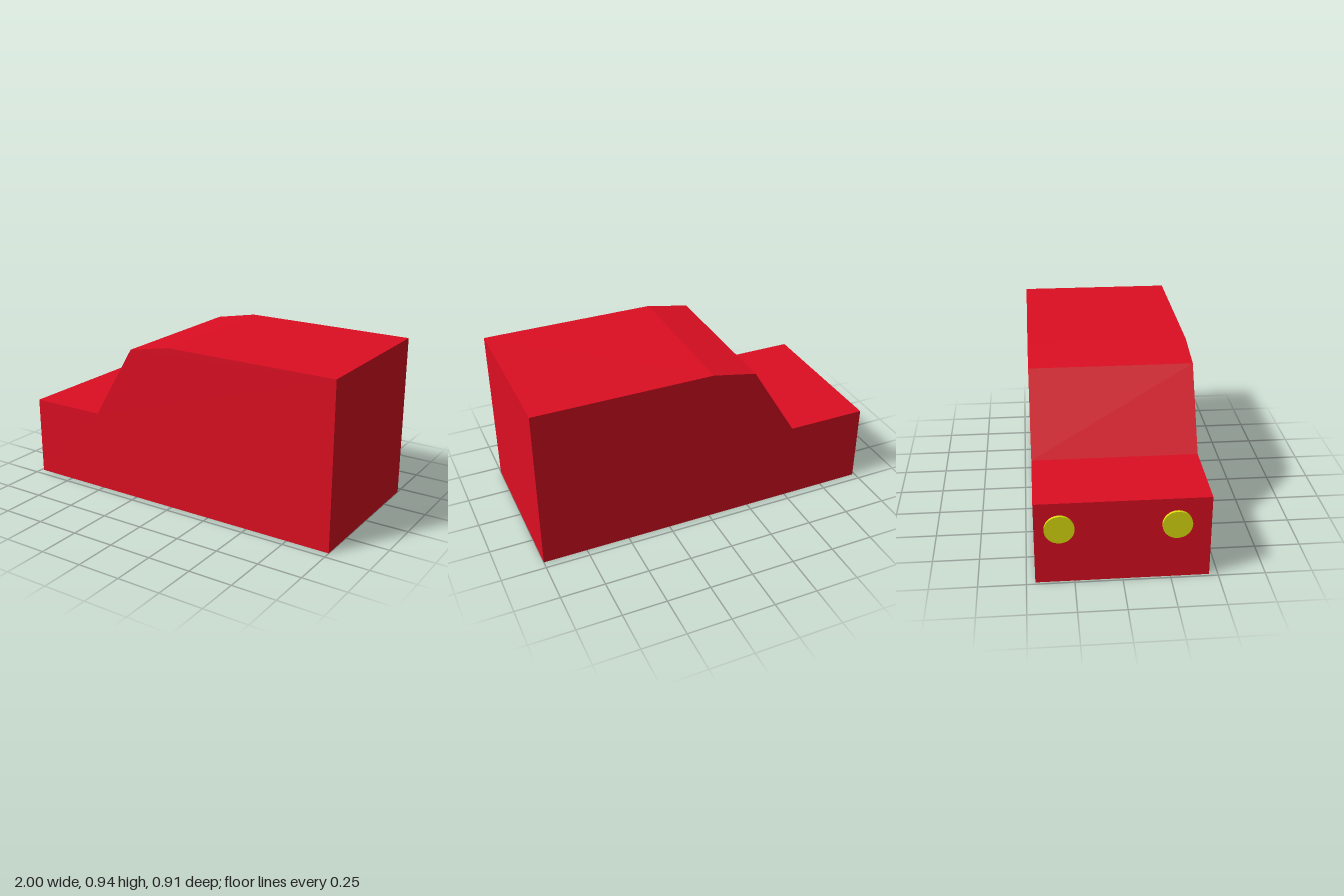
import * as THREE from 'three';

const WIDTH = 0.908;
const NOSE_X = -0.985;

// Side outline of the van, from the lower nose round to the tail
const OUTLINE = [
  [NOSE_X, 0], [1, 0], [1, 0.943], [-0.01, 0.943],
  [-0.262, 0.895], [-0.523, 0.466], [NOSE_X, 0.466],
];

export function createModel() {
  const group = new THREE.Group();
  group.name = 'van';

  const paint = new THREE.MeshStandardMaterial({ color: 0xdc0e22, flatShading: true });
  const lampYellow = new THREE.MeshStandardMaterial({ color: 0xdede10 });

  // Body: the outline extruded across the full width
  const shape = new THREE.Shape(OUTLINE.map(([x, y]) => new THREE.Vector2(x, y)));
  const bodyGeometry = new THREE.ExtrudeGeometry(shape, { depth: WIDTH, bevelEnabled: false });
  bodyGeometry.translate(0, 0, -WIDTH / 2);
  const body = new THREE.Mesh(bodyGeometry, paint);
  body.name = 'body';
  group.add(body);

  // Headlamps: short discs set into the nose, slightly off centre
  const lampGeometry = new THREE.CylinderGeometry(0.078, 0.078, 0.03, 32);
  lampGeometry.rotateZ(Math.PI / 2);
  for (const [name, z] of [['rearSideHeadlamp', -0.325], ['frontSideHeadlamp', 0.277]]) {
    const lamp = new THREE.Mesh(lampGeometry, lampYellow);
    lamp.name = name;
    lamp.position.set(NOSE_X, 0.32, z);
    group.add(lamp);
  }

  return group;
}
